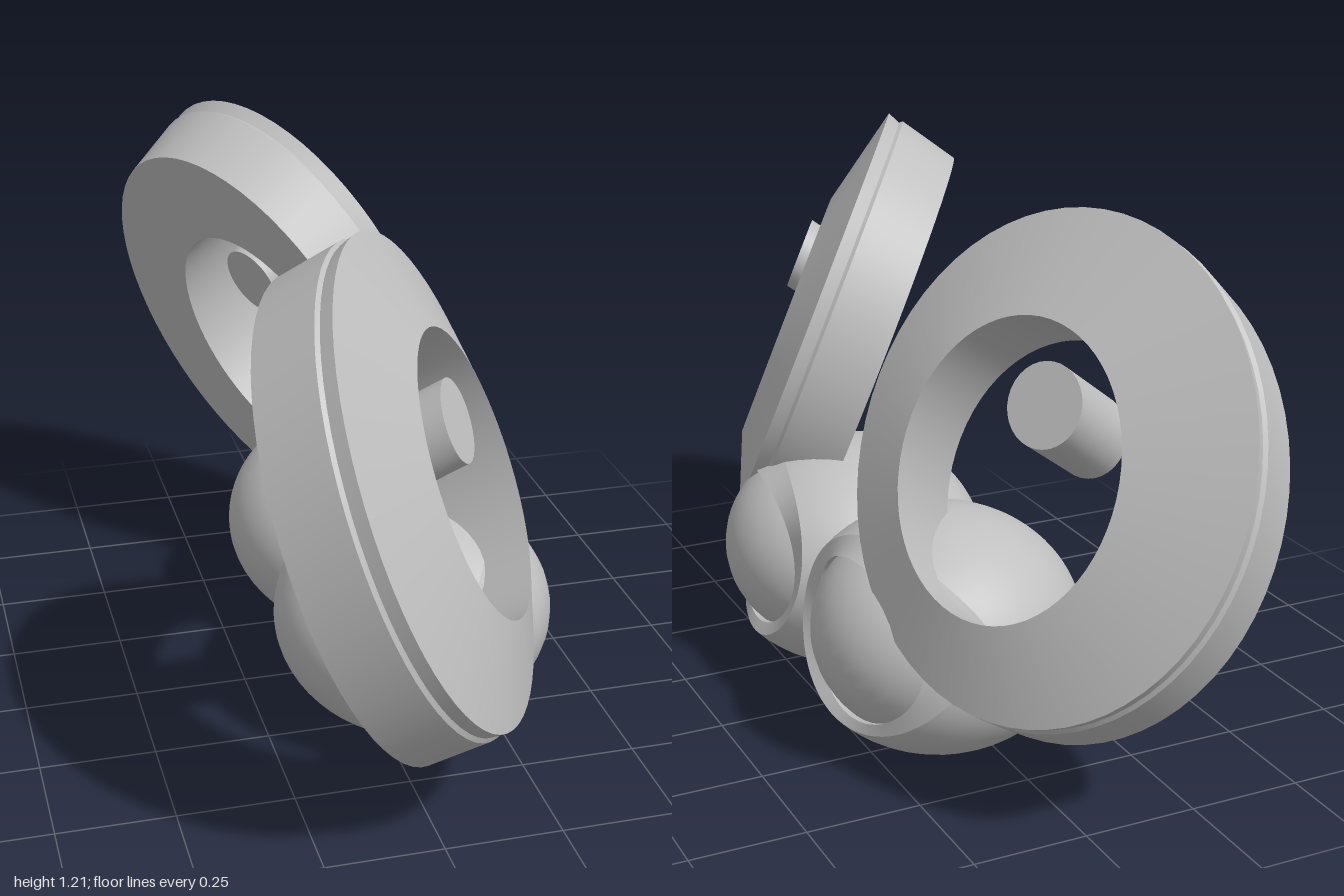
import * as THREE from 'three';
import { mergeGeometries } from 'three/addons/utils/BufferGeometryUtils.js';

const grey = new THREE.MeshStandardMaterial({ color: 0xc0c0c0 });
grey.name = 'grey';

// Tilted frame shared by the ring and its peg: u inward, v up the disc, n along the axis
const n = new THREE.Vector3(0.822, 0.362, 0.436).normalize();
const u = new THREE.Vector3(0, 1, 0).cross(n).normalize();
const v = n.clone().cross(u);
const discFrame = new THREE.Matrix4().makeBasis(u, v, n).setPosition(0.025, 0.74, 0.595);

const ellipse = (cu, cv, cn, ru, rv) => (t) => [cu + ru * Math.cos(t), cv + rv * Math.sin(t), cn];

// Smooth skin over closed curves t -> [x, y, z]
function loft(curves, segments) {
  const positions = [], index = [];
  curves.forEach((curve, row) => {
    for (let i = 0; i < segments; i++) {
      positions.push(...curve((i / segments) * Math.PI * 2));
      if (row === 0) continue;
      const a = (row - 1) * segments + i, b = (row - 1) * segments + ((i + 1) % segments);
      index.push(a, b, a + segments, b, b + segments, a + segments);
    }
  });
  const g = new THREE.BufferGeometry();
  g.setAttribute('position', new THREE.Float32BufferAttribute(positions, 3));
  g.setIndex(index);
  g.computeVertexNormals();
  return g;
}

// The same with a crisp edge at every curve
const crispLoft = (curves, segments) =>
  mergeGeometries(curves.slice(1).map((curve, i) => loft([curves[i], curve], segments)));

// Ellipsoids of the eye: centre and radii
const socket = { c: [0.087, 0.266, 0.24], r: [0.312, 0.265, 0.31] };
const ball = { c: [0.121, 0.28, 0.262], r: [0.25, 0.234, 0.25] };

// An oval seen along x, projected onto the front of an ellipsoid and lifted off it
const ovalOn = ({ c, r }, cy, cz, ry, rz, lift) => (t) => {
  const y = cy + ry * Math.cos(t), z = cz + rz * Math.sin(t);
  const rest = 1 - ((y - c[1]) / r[1]) ** 2 - ((z - c[2]) / r[2]) ** 2;
  return [c[0] + r[0] * Math.sqrt(Math.max(0, rest)) + lift, y, z];
};

// A curve on the ellipsoid, part of the way from its rear pole to a given curve
const fromRearPole = ({ c, r }, curve, part) => (t) => {
  const [x, y, z] = curve(t).map((value, i) => (value - c[i]) / r[i]);
  const across = Math.hypot(y, z);
  const angle = part * Math.atan2(across, -x);
  const s = Math.sin(angle) / across;
  return [c[0] - r[0] * Math.cos(angle), c[1] + r[1] * y * s, c[2] + r[2] * z * s];
};

// Reflects a geometry across z = 0, keeping its faces outward
function mirrorZ(source) {
  const g = source.clone().scale(1, 1, -1);
  const ix = g.index.array;
  for (let i = 0; i < ix.length; i += 3) [ix[i], ix[i + 1]] = [ix[i + 1], ix[i]];
  return g;
}

export function createModel() {
  const model = new THREE.Group();
  model.name = 'ringedEyes';
  const parts = [];

  // Socket: an ellipsoid running from its rear pole to the lid rim
  const lidRim = ovalOn(socket, 0.298, 0.28, 0.2, 0.262, 0);
  const rows = Array.from({ length: 25 }, (_, i) => fromRearPole(socket, lidRim, i / 24));
  parts.push(['eyeSocket', loft(rows, 64)]);

  // Eyelids: a band from the rim to a saddle-shaped opening around the eyeball
  parts.push(['eyelids', crispLoft([
    lidRim,
    ovalOn(ball, 0.29, 0.28, 0.172, 0.21, 0.012),
    ovalOn(ball, 0.29, 0.28, 0.172, 0.21, -0.02),
  ], 64)]);

  // Eyeball
  parts.push(['eyeball', new THREE.SphereGeometry(1, 40, 28).scale(...ball.r).translate(...ball.c)]);

  // Thick leaning ring with a bevelled front edge and a raised, off-centre hole
  parts.push(['ring', crispLoft([
    ellipse(0.012, -0.04, -0.182, 0.446, 0.509),
    ellipse(0, -0.008, -0.038, 0.448, 0.511),
    ellipse(0, -0.007, -0.03, 0.441, 0.504),
    ellipse(0, 0, 0, 0.446, 0.509),
    ellipse(0.052, -0.022, 0.056, 0.25, 0.303),
    ellipse(0.058, -0.056, -0.182, 0.275, 0.316),
    ellipse(0.012, -0.04, -0.182, 0.446, 0.509),
  ], 64).applyMatrix4(discFrame)]);

  // Peg standing inside the hole
  parts.push(['peg', crispLoft([
    ellipse(-0.015, 0.075, -0.115, 0, 0),
    ellipse(-0.015, 0.075, -0.115, 0.083, 0.085),
    ellipse(-0.015, 0.117, 0.08, 0.083, 0.085),
    ellipse(-0.015, 0.117, 0.08, 0, 0),
  ], 32).applyMatrix4(discFrame)]);

  // Both halves, mirrored across z = 0
  for (const side of ['front', 'back']) {
    const half = new THREE.Group();
    half.name = side + 'Half';
    for (const [name, g] of parts) {
      const mesh = new THREE.Mesh(side === 'front' ? g : mirrorZ(g), grey);
      mesh.name = name;
      half.add(mesh);
    }
    model.add(half);
  }
  return model;
}
